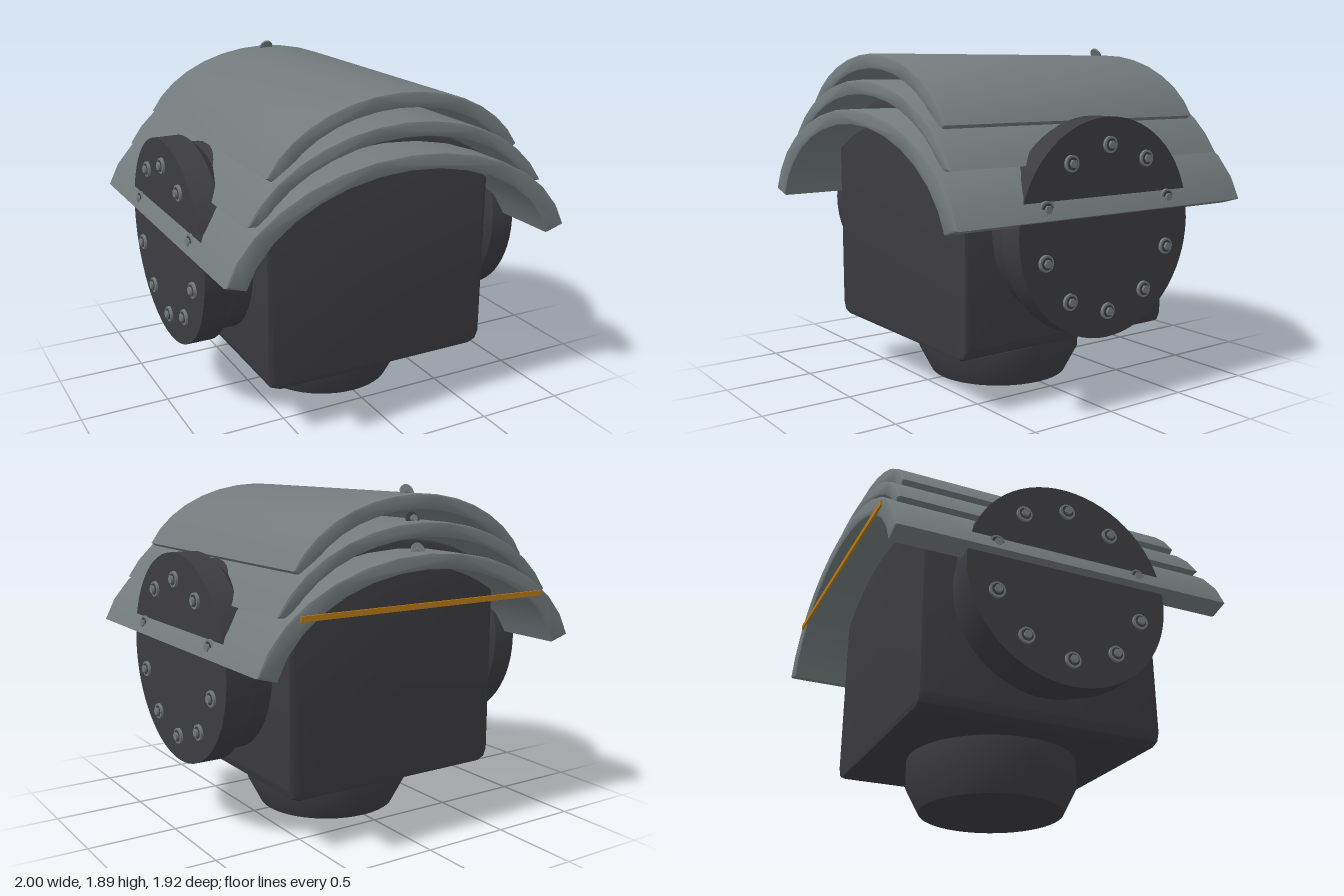
import * as THREE from 'three';
import { toCreasedNormals } from 'three/addons/utils/BufferGeometryUtils.js';

const material = (name, color) => {
  const m = new THREE.MeshStandardMaterial({ color });
  m.name = name;
  return m;
};

export function createModel() {
  const model = new THREE.Group();
  const dark = material('charcoal', 0x3d3c41);
  const grey = material('steel grey', 0x737b7d);
  const amber = material('amber', 0xb97b14);
  const plateGrey = material('plate grey', 0x555559);

  function add(parent, name, geometry, mat, x = 0, y = 0, z = 0) {
    const mesh = new THREE.Mesh(geometry, mat);
    mesh.name = name;
    mesh.position.set(x, y, z);
    parent.add(mesh);
    return mesh;
  }

  // Extrude an outline along z, centred, with bevels kept inside the outline
  function slab(points, depth, bevel, segments) {
    const g = new THREE.ExtrudeGeometry(new THREE.Shape(points), {
      depth: depth - 2 * bevel, bevelEnabled: true, bevelThickness: bevel,
      bevelSize: bevel, bevelOffset: -bevel, bevelSegments: segments,
    });
    g.translate(0, 0, -depth / 2 + bevel);
    return toCreasedNormals(g, 0.5);
  }

  // Points on an elliptical arc, from -x to +x, with its peak at height top
  function arc(a, b, top, endX, steps) {
    const end = Math.asin(endX / a);
    return Array.from({ length: steps + 1 }, (_, i) => {
      const t = -end + (2 * end * i) / steps;
      return new THREE.Vector2(a * Math.sin(t), top - b + b * Math.cos(t));
    });
  }

  const lathe = (profile, segments) => toCreasedNormals(
    new THREE.LatheGeometry(profile.map(([r, y]) => new THREE.Vector2(r, y)), segments), 0.5);

  // Main body with a domed top
  const bodyOutline = [[0.67, 1.3], [0.67, 0.36], [0.65, 0.31], [0.6, 0.29]];
  const points = arc(0.84, 0.57, 1.61, 0.668, 12);
  bodyOutline.forEach(([x, y]) => points.push(new THREE.Vector2(x, y)));
  bodyOutline.reverse().forEach(([x, y]) => points.push(new THREE.Vector2(-x, y)));
  add(model, 'body', slab(points, 1.38, 0.025, 2), dark);
  add(model, 'undersidePlate', new THREE.BoxGeometry(0.16, 0.008, 0.36), plateGrey, 0.51, 0.287, 0.38);
  add(model, 'frontLatch', new THREE.BoxGeometry(0.06, 0.035, 0.03), dark, 0.22, 1.43, 0.695)
    .rotation.z = -0.6;

  // Tapered round base
  add(model, 'base', lathe([[0, 0], [0.4, 0], [0.475, 0.145], [0.475, 0.32]], 48), dark);

  // Three stacked curved armour plates
  const plates = [
    { name: 'lowerShell', outer: [1.02, 0.65, 1.558, 0.998], inner: [0.91, 0.6, 1.475, 0.887], length: 1.91 },
    { name: 'middleShell', outer: [0.92, 0.636, 1.71, 0.86], inner: [0.85, 0.56, 1.63, 0.78], length: 1.8 },
    { name: 'upperShell', outer: [0.78, 0.532, 1.847, 0.73], inner: [0.7, 0.46, 1.765, 0.66], length: 1.68 },
  ];
  plates.forEach(({ name, outer, inner, length }, i) => {
    const outline = [...arc(...outer, 14), ...arc(...inner, 14).reverse()];
    add(model, name, slab(outline, length, 0.014, 2), grey);

    // Tilted screw at the rear of each plate
    const screw = new THREE.Group();
    screw.name = 'shellScrew';
    add(screw, 'screwWasher', new THREE.CylinderGeometry(0.04, 0.04, 0.012, 20), i === 1 ? dark : grey);
    add(screw, 'screwHead', new THREE.CylinderGeometry(0.02, 0.02, 0.025, 6), grey, 0, 0.01, 0);
    screw.position.set(0, outer[2] + 0.005, -0.85 + i * 0.05);
    screw.rotation.x = -1.1;
    model.add(screw);
  });

  // Amber strip across the rear edge
  add(model, 'rearStrip', new THREE.BoxGeometry(1.53, 0.028, 0.012), amber, 0, 1.297, -0.959);

  // Side drums with a ring of bolts, mirrored by a half turn
  const drumGeometry = lathe([
    [0.525, 0.6], [0.525, 0.765], [0.57, 0.815], [0.57, 0.955], [0, 0.955]], 64);
  const washer = new THREE.CylinderGeometry(0.043, 0.043, 0.016, 20);
  const recess = new THREE.CylinderGeometry(0.032, 0.032, 0.004, 20);
  const hex = new THREE.CylinderGeometry(0.022, 0.022, 0.02, 6);
  for (const side of [1, -1]) {
    const pivot = new THREE.Group();
    pivot.name = side > 0 ? 'leftDrum' : 'rightDrum';
    pivot.position.y = 0.96;
    pivot.rotation.y = side > 0 ? 0 : Math.PI;
    model.add(pivot);
    const drum = new THREE.Group();
    drum.name = 'drumAssembly';
    drum.rotation.z = -Math.PI / 2;
    pivot.add(drum);
    add(drum, 'drum', drumGeometry, dark);
    for (let i = 0; i < 10; i++) {
      const angle = (i * Math.PI) / 5;
      const x = 0.43 * Math.cos(angle), z = 0.43 * Math.sin(angle);
      add(drum, 'boltWasher', washer, grey, x, 0.962, z);
      add(drum, 'boltRecess', recess, dark, x, 0.97, z);
      add(drum, 'boltHead', hex, grey, x, 0.975, z);
    }
  }

  return model;
}
